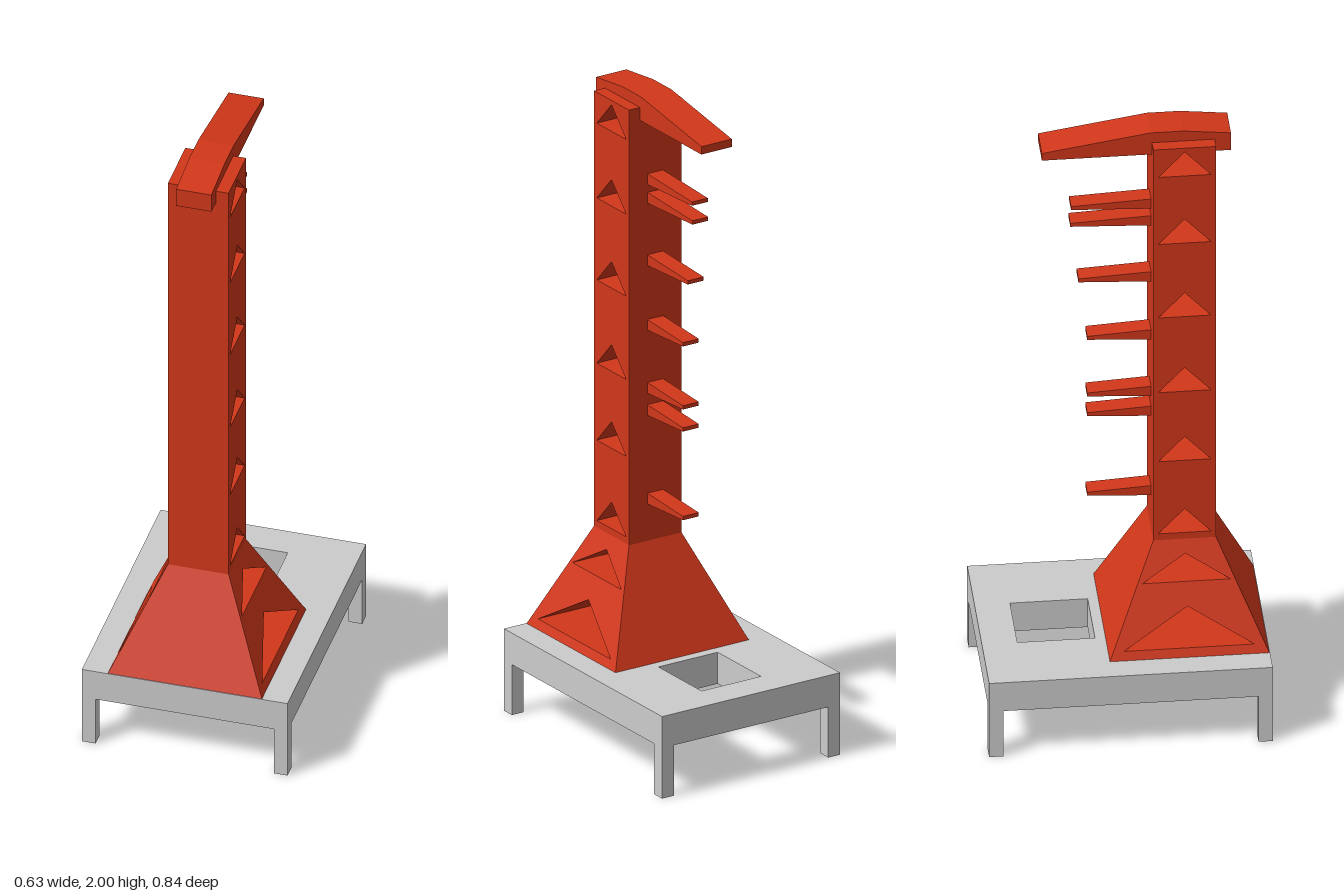
import * as THREE from 'three';

const grey = new THREE.MeshStandardMaterial({ color: 0xcccccc, flatShading: true });
const red = new THREE.MeshStandardMaterial({ color: 0xd1371a, flatShading: true });
const MID_Z = 0.182; // tower centre line

const poly = (points) => new THREE.Shape(points.map(([a, b]) => new THREE.Vector2(a, b)));

// Extrudes a (z, y) side profile along x, centred on x = 0
function sideExtrude(points, halfWidth, holes = []) {
  const shape = poly(points);
  shape.holes = holes.map(poly);
  return new THREE.ExtrudeGeometry(shape, { depth: halfWidth * 2, bevelEnabled: false })
    .translate(0, 0, -halfWidth)
    .rotateY(-Math.PI / 2);
}

// Triangular opening centred on the tower
const triangle = (half, y0, y1) => [[MID_Z - half, y0], [MID_Z, y1], [MID_Z + half, y0]];

export function createModel() {
  const model = new THREE.Group();
  const add = (name, geometry, material) => {
    const mesh = new THREE.Mesh(geometry, material);
    mesh.name = name;
    model.add(mesh);
    return mesh;
  };

  // Platform slab with a rectangular opening
  const slab = poly([[-0.315, -0.42], [0.315, -0.42], [0.315, 0.42], [-0.315, 0.42]]);
  slab.holes.push(poly([[-0.105, 0.085], [-0.105, 0.315], [0.105, 0.315], [0.105, 0.085]]));
  add('platform', new THREE.ExtrudeGeometry(slab, { depth: 0.1, bevelEnabled: false })
    .rotateX(-Math.PI / 2).translate(0, 0.16, 0), grey);

  // Corner legs
  for (const sx of [-1, 1]) {
    for (const sz of [-1, 1]) {
      add('platformLeg', new THREE.BoxGeometry(0.042, 0.16, 0.042), grey)
        .position.set(sx * 0.294, 0.08, sz * 0.399);
    }
  }

  // Tapered tower base: a unit-wide extrusion narrowed with height
  const y0 = 0.26, y1 = 0.585;
  const base = sideExtrude(
    [[MID_Z - 0.236, y0], [MID_Z + 0.236, y0], [MID_Z + 0.093, y1], [MID_Z - 0.093, y1]], 1,
    [triangle(0.193, 0.286, 0.4), triangle(0.13, 0.468, 0.545)]);
  const pos = base.attributes.position;
  for (let i = 0; i < pos.count; i++) {
    const t = (pos.getY(i) - y0) / (y1 - y0);
    pos.setX(i, pos.getX(i) * THREE.MathUtils.lerp(0.236, 0.093, t));
  }
  base.computeVertexNormals();
  add('towerBase', base, red);

  // Column pierced by triangular openings
  const openings = [0.607, 0.862, 1.106, 1.37, 1.63, 1.867].map((y) => triangle(0.078, y, y + 0.084));
  add('towerColumn', sideExtrude(
    [[MID_Z - 0.093, y1], [MID_Z + 0.093, y1], [MID_Z + 0.093, 1.965], [MID_Z - 0.093, 1.965]],
    0.093, openings), red);

  // Crane arm on top
  add('topArm', sideExtrude(
    [[-0.237, 1.924], [0.323, 1.924], [0.323, 1.984], [0.182, 2], [0.085, 2], [-0.237, 1.949]],
    0.054), red);

  // Tapering service arms on the back: [height, tip z]
  const arms = [[0.719, -0.1], [1.0, -0.1], [1.07, -0.1], [1.27, -0.1],
    [1.475, -0.126], [1.673, -0.15], [1.732, -0.148]];
  for (const [y, tip] of arms) {
    add('serviceArm', sideExtrude(
      [[tip, y - 0.006], [0.09, y - 0.017], [0.09, y + 0.017], [tip, y + 0.006]], 0.028), red);
  }

  return model;
}
